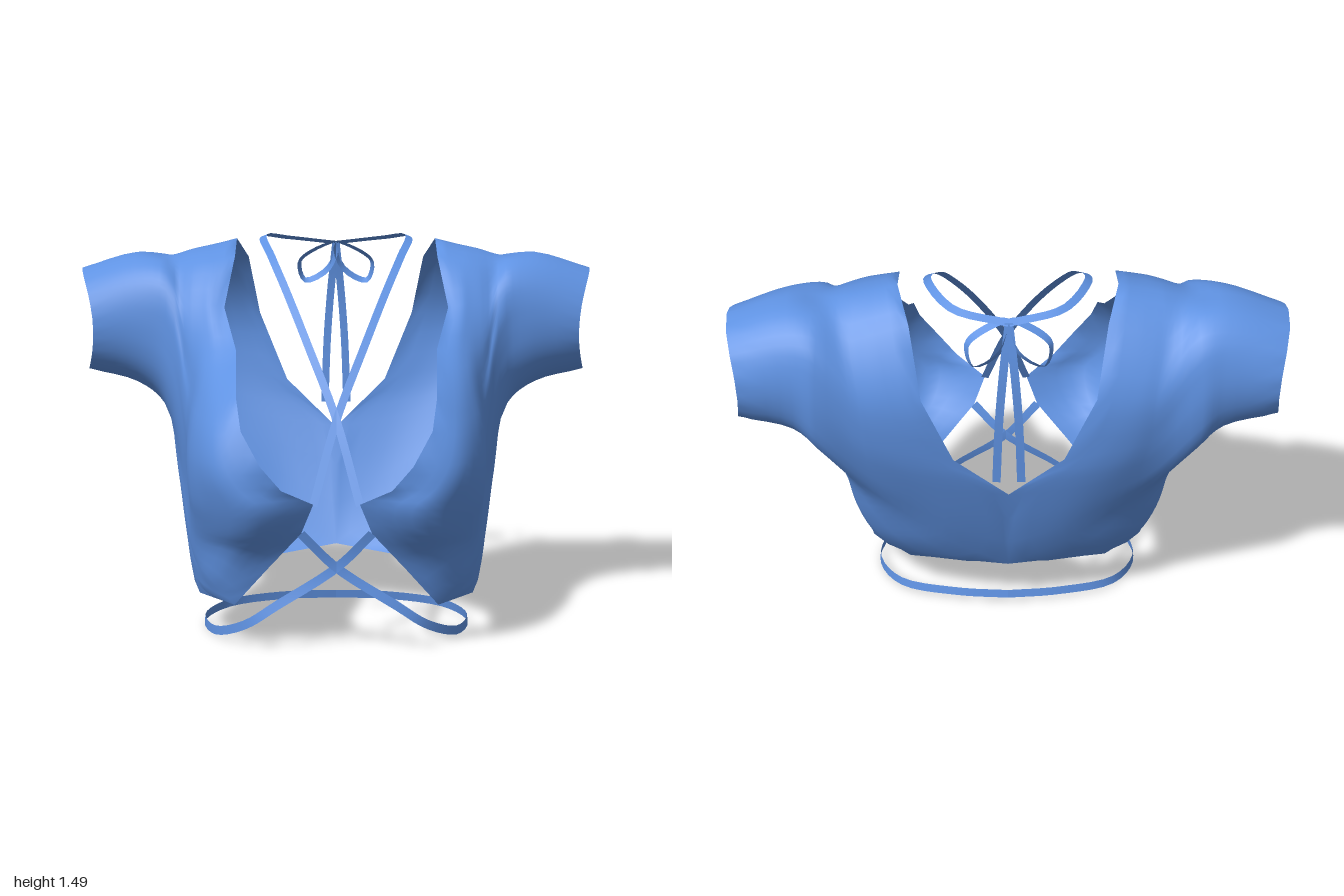
import * as THREE from 'three';
import { mergeGeometries, mergeVertices } from 'three/addons/utils/BufferGeometryUtils.js';

const V = (x, y, z) => new THREE.Vector3(x, y, z);
const vecs = (list) => list.map((p) => V(...p));
const SPOKES = 20, UNDER = 13; // spoke 0 = top of sleeve, spoke 13 = underarm

// Sleeve loop: a slightly squared oval in the yz plane whose x varies with the angle
function sleeveRing(yc, ry, zc, rz, square, xAt) {
  return Array.from({ length: SPOKES }, (_, k) => {
    const turn = k <= UNDER ? k / UNDER : 1 + (k - UNDER) / (SPOKES - UNDER);
    const a = Math.PI * (0.5 - turn);
    const r = 1 + square * Math.sin(2 * a) ** 2;
    return V(xAt(Math.sin(a), Math.cos(a), Math.cos(2 * a)), yc + r * ry * Math.sin(a), zc + r * rz * Math.cos(a));
  });
}

// Loops around the arm, from the cuff outward to the edge of the garment (left half)
const cuff = sleeveRing(1.16, 0.2, -0.315, 0.21, 0, (s, c, c2) => 0.97 + 0.01 * s - 0.01 * c - 0.02 * c2);
const midSleeve = sleeveRing(1.167, 0.255, -0.305, 0.235, 0.05, (s, c, c2) => 0.775 - 0.01 * c2);
const armhole = sleeveRing(1.12, 0.29, -0.295, 0.26, 0.1, (s, c) => 0.67 - 0.01 * s - 0.015 * c);
const sideRing = vecs([
  [0.56, 1.435, -0.32], [0.56, 1.39, -0.14], [0.56, 1.25, -0.02], [0.555, 1.1, 0.06], [0.56, 0.98, 0.09],
  [0.565, 0.9, 0.12], [0.57, 0.82, 0.13], [0.57, 0.75, 0.13], [0.57, 0.68, 0.12], [0.57, 0.61, 0.1],
  [0.575, 0.57, 0.07], [0.585, 0.55, 0.03], [0.605, 0.57, -0.04], [0.62, 0.6, -0.12], [0.615, 0.63, -0.26],
  [0.53, 0.68, -0.43], [0.51, 0.81, -0.5], [0.52, 0.95, -0.54], [0.53, 1.15, -0.555], [0.56, 1.33, -0.465],
]);
const cupRing = vecs([
  [0.515, 1.445, -0.32], [0.51, 1.4, -0.13], [0.515, 1.25, 0], [0.5, 1.09, 0.12], [0.51, 0.95, 0.25],
  [0.53, 0.85, 0.31], [0.54, 0.74, 0.35], [0.54, 0.65, 0.36], [0.53, 0.56, 0.36], [0.525, 0.48, 0.315],
  [0.53, 0.4, 0.25], [0.54, 0.32, 0.19], [0.57, 0.38, 0.08], [0.59, 0.42, -0.06], [0.56, 0.46, -0.27],
  [0.38, 0.54, -0.41], [0.37, 0.76, -0.515], [0.44, 0.93, -0.555], [0.475, 1.15, -0.565], [0.51, 1.345, -0.465],
]);
const bustRing = vecs([
  [0.47, 1.455, -0.32], [0.47, 1.405, -0.125], [0.48, 1.25, 0.015], [0.45, 1.09, 0.16], [0.45, 0.94, 0.37],
  [0.45, 0.83, 0.475], [0.44, 0.73, 0.525], [0.4, 0.65, 0.555], [0.33, 0.57, 0.57], [0.34, 0.465, 0.515],
  [0.39, 0.385, 0.425], [0.47, 0.25, 0.31], [0.55, 0.28, 0.14], [0.565, 0.3, -0.05], [0.49, 0.33, -0.26],
  [0.22, 0.4, -0.39], [0.22, 0.72, -0.515], [0.34, 0.91, -0.56], [0.42, 1.15, -0.57], [0.46, 1.36, -0.465],
]);
// Garment edge: neckline, front opening, hem, centre back, back neckline
const edgeRing = vecs([
  [0.39, 1.475, -0.32], [0.39, 1.42, -0.13], [0.425, 1.24, 0.02], [0.375, 1.1, 0.18], [0.365, 0.96, 0.43],
  [0.345, 0.85, 0.52], [0.275, 0.73, 0.57], [0.2, 0.64, 0.56], [0.085, 0.575, 0.49], [0.13, 0.46, 0.46],
  [0.26, 0.31, 0.41], [0.38, 0.165, 0.355], [0.52, 0.167, 0.18], [0.53, 0.165, -0.03], [0.38, 0.195, -0.21],
  [0, 0.24, -0.33], [0, 0.69, -0.5], [0.2, 0.88, -0.55], [0.31, 1.15, -0.575], [0.35, 1.39, -0.46],
]);

// Half of the top: smooth spokes through the loops, then smooth loops through the spokes
function halfTop(side) {
  const rings = [cuff, midSleeve, armhole, sideRing, cupRing, bustRing, edgeRing];
  const rows = (rings.length - 1) * 4, sub = 3, cols = SPOKES * sub;
  const spokes = cuff.map((_, k) => new THREE.CatmullRomCurve3(rings.map((r) => r[k]), false, 'centripetal'));
  const pos = [], index = [];
  for (let i = 0; i <= rows; i++) {
    const ctrl = spokes.map((s) => s.getPoint(i / rows));
    const loop = new THREE.CatmullRomCurve3(ctrl, true, 'centripetal');
    const straight = i === 0 || i === rows; // crisp cuff and outer edge
    for (let j = 0; j < cols; j++) {
      const k = Math.floor(j / sub);
      const p = straight
        ? ctrl[k].clone().lerp(ctrl[(k + 1) % SPOKES], (j % sub) / sub)
        : loop.getPoint(j / cols);
      pos.push(side * p.x, p.y, p.z);
    }
  }
  for (let i = 0; i < rows; i++) {
    for (let j = 0; j < cols; j++) {
      const n = (j + 1) % cols;
      const a = i * cols + j, b = i * cols + n, c = a + cols, d = b + cols;
      if (side > 0) index.push(a, b, c, b, d, c);
      else index.push(a, c, b, b, c, d);
    }
  }
  const geo = new THREE.BufferGeometry();
  geo.setAttribute('position', new THREE.Float32BufferAttribute(pos, 3));
  geo.setIndex(index);
  return geo;
}

// Flat ribbon along a path, its face turned away from the point given by centreAt
function ribbon(points, centreAt, width, closed = false) {
  const path = new THREE.CatmullRomCurve3(vecs(points), closed, 'centripetal');
  const steps = points.length * 4, pos = [], index = [];
  for (let i = 0; i <= steps; i++) {
    const p = path.getPoint(i / steps);
    const across = path.getTangent(i / steps).cross(p.clone().sub(centreAt(p))).setLength(width / 2);
    const a = p.clone().add(across), b = p.clone().sub(across);
    pos.push(a.x, a.y, a.z, b.x, b.y, b.z);
    if (i < steps) index.push(2 * i, 2 * i + 1, 2 * i + 2, 2 * i + 1, 2 * i + 3, 2 * i + 2);
  }
  const geo = new THREE.BufferGeometry();
  geo.setAttribute('position', new THREE.Float32BufferAttribute(pos, 3));
  geo.setIndex(index);
  geo.computeVertexNormals();
  return geo;
}

export function createModel() {
  const model = new THREE.Group();
  model.name = 'tieTop';
  const cloth = new THREE.MeshStandardMaterial({ color: 0x5f92e2, side: THREE.DoubleSide });
  cloth.name = 'blueCloth';

  const add = (name, geo, parent) => {
    const mesh = new THREE.Mesh(geo, cloth);
    mesh.name = name;
    parent.add(mesh);
  };

  // Body with sleeves, the halves welded at the centre back
  const body = mergeVertices(mergeGeometries([halfTop(1), halfTop(-1)]), 1e-4);
  body.computeVertexNormals();
  add('bodyAndSleeves', body, model);

  // Ribbons
  const neckStrap = ribbon([
    [-0.085, 0.57, 0.49], [0, 0.86, 0.34], [0.1, 1.1, 0.18], [0.19, 1.3, 0], [0.25, 1.42, -0.14],
    [0.285, 1.485, -0.31], [0.19, 1.465, -0.48], [0, 1.44, -0.53],
  ], () => V(0, 0.7, -0.1), 0.03);
  const waistStrap = ribbon([
    [0.13, 0.46, 0.46], [0, 0.325, 0.43], [-0.22, 0.18, 0.42], [-0.33, 0.1, 0.38], [-0.46, 0.025, 0.2],
    [-0.51, 0.025, 0], [-0.42, 0.035, -0.17], [-0.2, 0.045, -0.25], [0, 0.045, -0.27],
  ], (p) => V(0, p.y - 0.05, 0), 0.034);
  const bowLoop = ribbon([
    [0, 1.44, -0.515], [0.1, 1.405, -0.53], [0.147, 1.36, -0.545], [0.125, 1.285, -0.565], [0.03, 1.335, -0.55],
  ], () => V(0.075, 1.36, -0.5), 0.03, true);
  const bowTail = ribbon([
    [0, 1.44, -0.535], [0.02, 1.25, -0.56], [0.035, 1.05, -0.565], [0.045, 0.785, -0.555],
  ], (p) => V(p.x, p.y, 0), 0.03);

  for (const [side, label] of [[1, 'left'], [-1, 'right']]) {
    const ties = new THREE.Group();
    ties.name = label + 'Ties';
    ties.scale.x = side;
    add('neckStrap', neckStrap, ties);
    add('waistStrap', waistStrap, ties);
    add('bowLoop', bowLoop, ties);
    add('bowTail', bowTail, ties);
    model.add(ties);
  }
  return model;
}
